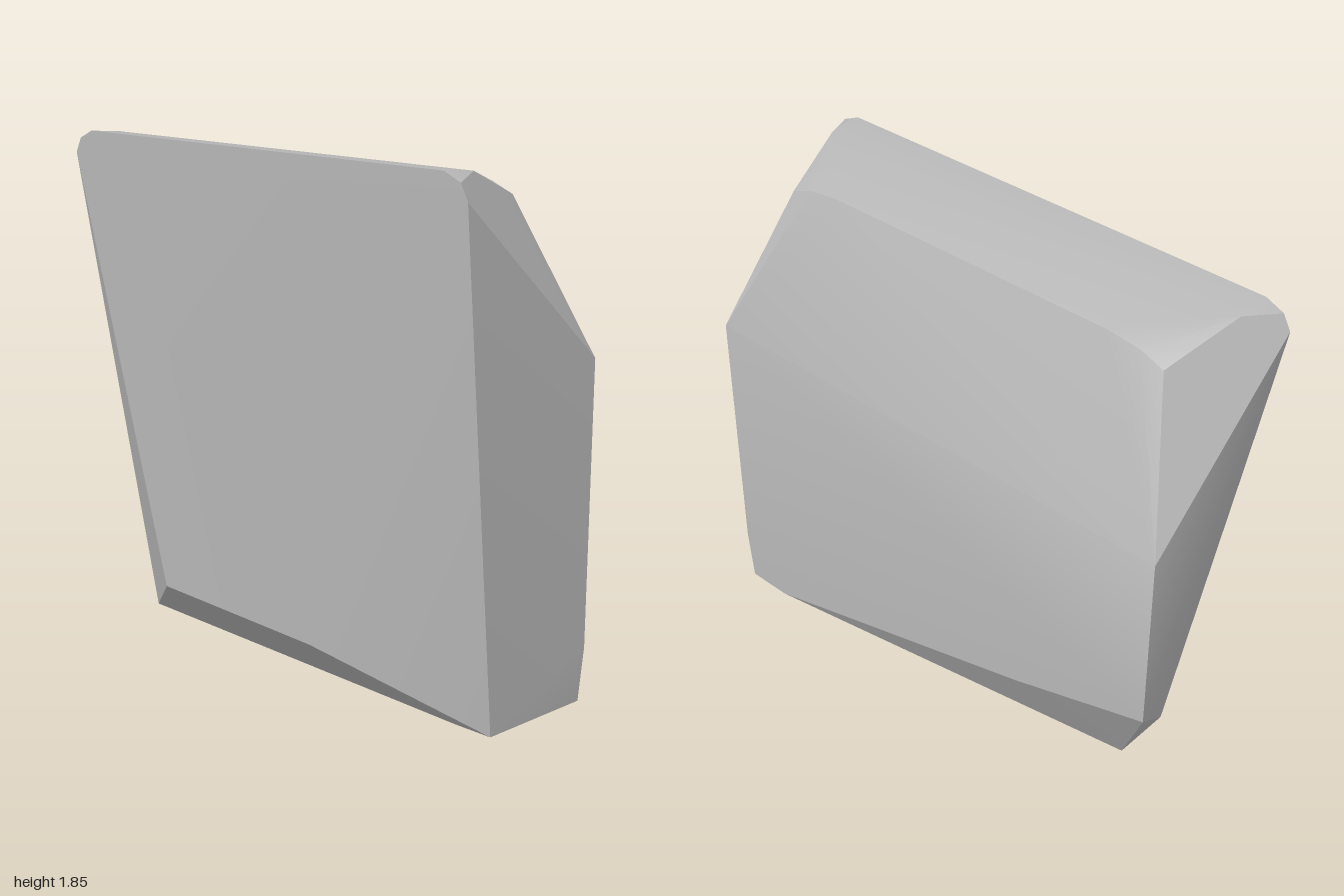
import * as THREE from 'three';
import { ConvexGeometry } from 'three/addons/geometries/ConvexGeometry.js';
import { toCreasedNormals } from 'three/addons/utils/BufferGeometryUtils.js';

const v = (x, y, z) => new THREE.Vector3(x, y, z);

export function createModel() {
  const grey = new THREE.MeshStandardMaterial({ color: 0xb8b8b8 });
  grey.name = 'stone grey';

  const corners = [];

  // Crown and chamfer corners, mirrored front to back
  for (const s of [1, -1]) {
    corners.push(
      v(-0.31, 1.845, 0.9 * s), v(-0.31, 1.815, 0.97 * s), v(-0.31, 1.76, s),
      v(-0.18, 1.835, 0.9 * s),
      v(0.09, 1.785, 0.6 * s), v(0.09, 1.77, 0.73 * s), v(0.09, 1.735, 0.82 * s),
      v(0.31, 1.2, s),
    );
  }

  // Front foot
  corners.push(
    v(0.31, 0.2, 1), v(0.31, 0, 0.98), v(0.31, 0, 0.8),
    v(-0.13, 0, 0.98), v(-0.14, 0, 0.83),
  );

  // Slanted underside, rising to the back
  corners.push(
    v(0.31, 0.34, -0.44), v(0.31, 0.52, -1),
    v(0.06, 0, -0.74), v(-0.17, 0, -0.74),
  );

  // Lower bevel of the outer side
  corners.push(v(-0.31, 0.17, 0.3), v(-0.31, 0.17, -0.5));

  const block = new THREE.Mesh(
    toCreasedNormals(new ConvexGeometry(corners), THREE.MathUtils.degToRad(24)),
    grey,
  );
  block.name = 'stoneBlock';

  const model = new THREE.Group();
  model.name = 'chamferedStone';
  model.add(block);
  return model;
}
